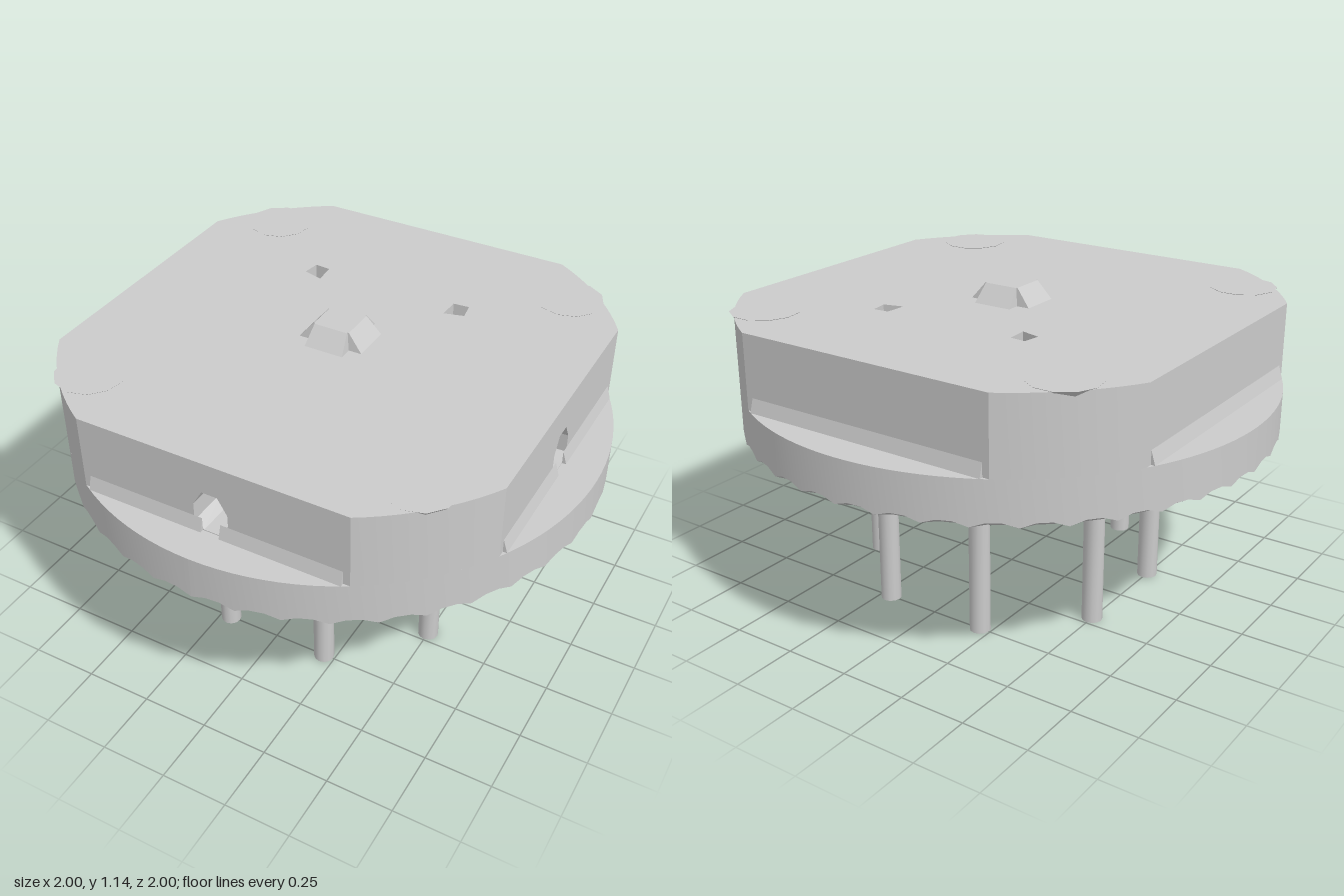
import * as THREE from 'three';
import { toCreasedNormals } from 'three/addons/utils/BufferGeometryUtils.js';

const smooth = new THREE.MeshStandardMaterial({ color: 0xcccccc, side: THREE.DoubleSide });
const flat = new THREE.MeshStandardMaterial({ color: 0xcccccc, flatShading: true, side: THREE.DoubleSide });
const V = (x, y) => new THREE.Vector2(x, y);
const poly = (pts) => new THREE.Shape(pts.map((p) => V(p[0], p[1])));
const extrude = (shape, depth) => new THREE.ExtrudeGeometry(shape, { depth, bevelEnabled: false });

const FLAT = 0.86, TOP = 1.08, SHELF = 0.8, BASE = 0.63;

export function createModel() {
  const model = new THREE.Group();
  const add = (name, geo, mat = flat, parent = model) => {
    const mesh = new THREE.Mesh(geo, mat);
    mesh.name = name;
    parent.add(mesh);
    return mesh;
  };

  // Upper body: a disc cut by four flats, with two pockets for the side ports
  const outline = [];
  const start = Math.acos(FLAT);
  for (let k = 0; k < 4; k++) {
    for (let i = 0; i <= 10; i++) {
      const a = k * Math.PI / 2 + start + (Math.PI / 2 - 2 * start) * i / 10;
      outline.push([Math.cos(a), Math.sin(a)]);
    }
    const pocket = [[0.3, FLAT], [0.3, 0.7], [-0.3, 0.7], [-0.3, FLAT]];
    if (k === 0) outline.push(...pocket);
    if (k === 3) outline.push(...pocket.map(([x, z]) => [z, -x]));
  }
  const bodyShape = poly(outline);
  for (const s of [-1, 1]) {
    const hole = [[0.265, -0.39], [0.325, -0.395], [0.335, -0.33], [0.26, -0.31]];
    bodyShape.holes.push(new THREE.Path(hole.map(([x, z]) => V(s * x, z))));
  }
  const body = extrude(bodyShape, TOP - SHELF);
  body.rotateX(Math.PI / 2).translate(0, TOP, 0);
  add('upperBody', toCreasedNormals(body, 0.5), smooth);

  // Flat sides: sloped foot on each, port plate on the front and left
  for (let k = 0; k < 4; k++) {
    const side = new THREE.Group();
    side.name = 'flatSide';
    side.rotation.y = k * Math.PI / 2;
    model.add(side);
    const hasPort = k < 2;
    const spans = hasPort ? [[-0.485, -0.035], [0.035, 0.485]] : [[-0.485, 0.485]];
    for (const [a, b] of spans) {
      const foot = extrude(poly([[0, 0], [0.015, 0], [0, 0.05]]), b - a);
      foot.rotateY(-Math.PI / 2).translate(b, SHELF, FLAT);
      add('slopedFoot', foot, flat, side);
    }
    if (!hasPort) continue;
    const plate = poly([[-0.3, SHELF], [0.3, SHELF], [0.3, TOP], [-0.3, TOP]]);
    const port = [[-0.03, 0.803], [0.03, 0.803], [0.065, 0.83], [0.065, 0.9], [0.03, 0.96], [-0.03, 0.96], [-0.065, 0.9], [-0.065, 0.83]];
    plate.holes.push(new THREE.Path(port.map((p) => V(...p))));
    add('portPlate', extrude(plate, 0.16).translate(0, 0, FLAT - 0.16), flat, side);
  }

  // Round base with stepped underside; one quarter carries a groove
  const inner = [[0, 0.79], [0.12, 0.79], [0.12, 0.65], [0.39, 0.65], [0.39, 0.52], [0.62, 0.52],
    [0.67, 0.55], [0.66, 0.57], [0.62, 0.575], [0.62, BASE]];
  const outer = [[0.965, BASE], [1, 0.65], [1, SHELF], [0, SHELF]];
  const groove = [[0.74, BASE], [0.78, 0.7], [0.9, 0.7], [0.94, BASE]];
  const lathe = (pts, phi, length, segments) => {
    const geo = new THREE.LatheGeometry(pts.map((p) => V(...p)), segments, phi, length);
    const pos = geo.attributes.position;
    // Uneven lower rim
    for (let i = 0; i < pos.count; i++) {
      if (Math.abs(pos.getY(i) - 0.65) > 1e-4 || Math.hypot(pos.getX(i), pos.getZ(i)) < 0.99) continue;
      const step = Math.floor(i / pts.length);
      pos.setY(i, step % 3 === 0 ? 0.635 : 0.652);
    }
    return toCreasedNormals(geo, 0.5);
  };
  add('base', lathe([...inner, ...outer], 0, Math.PI * 1.5, 90), smooth);
  add('groovedBase', lathe([...inner, ...groove, ...outer], Math.PI * 1.5, Math.PI / 2, 30), smooth);
  for (const r of [-Math.PI / 2, Math.PI]) {
    const end = new THREE.ShapeGeometry(poly(groove));
    end.rotateY(r === Math.PI ? -Math.PI / 2 : Math.PI);
    add('grooveEnd', end);
  }

  // Radial ribs under the base, profile given as radius and height
  const rib = (name, profile, angle, thickness) => {
    const geo = extrude(poly(profile), thickness).translate(0, 0, -thickness / 2);
    add(name, geo).rotation.y = angle;
  };
  const neckRib = [[0.61, BASE], [0.7, BASE], [0.66, 0.56], [0.61, 0.57]];
  for (let k = 0; k < 4; k++) {
    for (let i = 0; i < 12; i++) {
      rib('neckRib', neckRib, k * Math.PI / 2 + 0.46 + i * 0.059, 0.02);
    }
  }
  const recessRib = [[0.395, 0.65], [0.33, 0.65], [0.395, 0.56]];
  for (let i = 0; i < 28; i++) rib('recessRib', recessRib, i * Math.PI / 14, 0.035);
  const grooveRib = [[0.8, 0.7], [0.92, 0.7], [0.94, 0.635]];
  for (let i = 0; i < 18; i++) {
    rib('grooveRib', grooveRib, Math.PI + (i + 0.5) * Math.PI / 36, 0.035);
  }

  // Eight pins with flared collars
  for (let i = 0; i < 8; i++) {
    const a = (i + 0.5) * Math.PI / 4;
    const pin = new THREE.Group();
    pin.name = 'pin';
    pin.position.set(0.54 * Math.cos(a), 0, 0.54 * Math.sin(a));
    model.add(pin);
    const shaft = new THREE.CylinderGeometry(0.038, 0.038, 0.5, 12).translate(0, 0.25, 0);
    add('pinShaft', toCreasedNormals(shaft, 0.7), smooth, pin);
    add('pinCollar', new THREE.CylinderGeometry(0.077, 0.038, 0.075, 8).translate(0, 0.485, 0), flat, pin);
  }

  // Cross-shaped knob made of two tapered blocks
  for (const turn of [0, Math.PI / 2]) {
    const block = new THREE.BoxGeometry(0.25, 0.065, 0.15).translate(0, TOP + 0.0325, 0);
    const pos = block.attributes.position;
    for (let i = 0; i < pos.count; i++) {
      if (pos.getY(i) < TOP + 0.03) continue;
      pos.setX(i, Math.sign(pos.getX(i)) * 0.07);
      pos.setZ(i, Math.sign(pos.getZ(i)) * 0.065);
    }
    add('knob', block).rotation.y = turn;
  }

  // Small rounded lips at the four corners
  for (let k = 0; k < 4; k++) {
    const a = Math.PI / 4 + k * Math.PI / 2;
    const lip = new THREE.CylinderGeometry(0.128, 0.075, 0.06, 11);
    lip.translate(0.89 * Math.cos(a), TOP - 0.028, 0.89 * Math.sin(a));
    add('cornerLip', lip);
  }
  return model;
}
